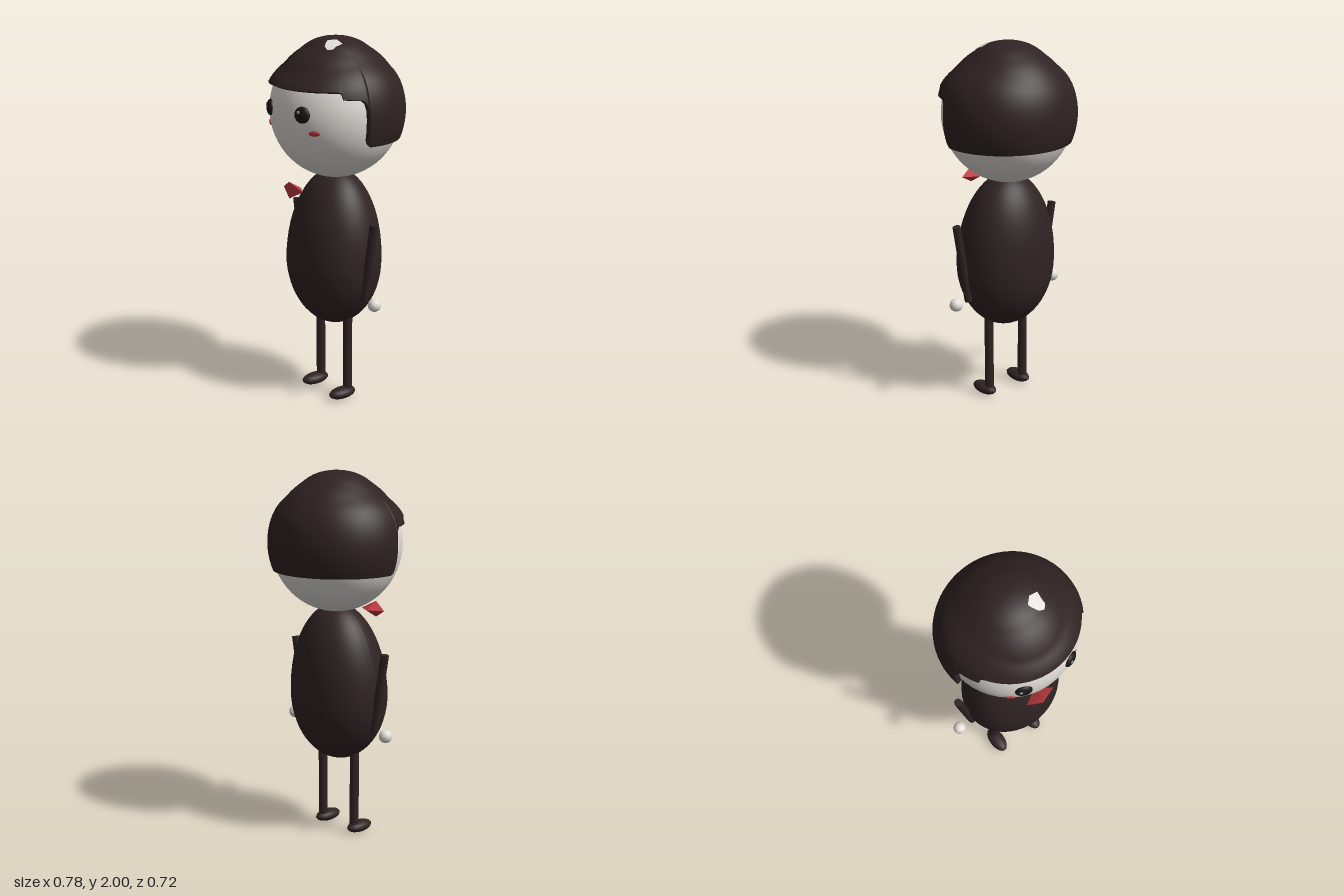
import * as THREE from 'three';

const mat = (name, color, side = THREE.FrontSide) => {
  const m = new THREE.MeshStandardMaterial({ color, side });
  m.name = name;
  return m;
};
const rad = THREE.MathUtils.degToRad;
const HEAD_Y = 1.615;
const HEAD = [0.35, 0.367, 0.354];
const HAIR = [0.382, 0.383, 0.36];

// distance from the head centre to an ellipsoid along a unit direction
const reach = (d, [a, b, c]) => 1 / Math.hypot(d.x / a, d.y / b, d.z / c);

// hair surface: an ellipsoid flattened around the crown, with a full fringe
function hairReach(d) {
  const el = THREE.MathUtils.radToDeg(Math.asin(d.y));
  const front = Math.max(0, d.z / Math.hypot(d.x, d.z, 1e-6));
  const dip = 0.05 * Math.exp(-(((el - 50) / 15) ** 2));
  const fringe = 0.065 * front * front * Math.exp(-(((el - 20) / 12) ** 2));
  return Math.max(reach(d, HAIR) * (1 - dip + fringe), reach(d, HEAD) * 1.012);
}

const direction = (az, th) =>
  new THREE.Vector3(Math.sin(th) * Math.sin(az), Math.cos(th), Math.sin(th) * Math.cos(az));

function surface(positions, index) {
  const g = new THREE.BufferGeometry();
  g.setAttribute('position', new THREE.Float32BufferAttribute(positions, 3));
  g.setIndex(index);
  g.computeVertexNormals();
  return g;
}

// hairline: [degrees from the front, height of the lower edge]
const HAIRLINE = [[0, 1.76], [54, 1.76], [57, 1.755], [58.5, 1.725], [74, 1.718], [77, 1.7],
  [78.5, 1.66], [79, 1.5], [80, 1.477], [82, 1.47], [180, 1.47]];

function hairGeometry() {
  // columns on both sides, with extra ones at the corners of the hairline
  const half = [];
  HAIRLINE.slice(1).forEach(([a1, y1], k) => {
    const [a0, y0] = HAIRLINE[k];
    const n = Math.ceil((a1 - a0) / 5);
    for (let i = 0; i < n; i++) half.push([a0 + (a1 - a0) * i / n, y0 + (y1 - y0) * i / n]);
  });
  const cols = [...half, [180, 1.47], ...half.slice(1).reverse().map(([a, y]) => [360 - a, y])];
  const rows = 24, n = cols.length, positions = [], index = [];
  const ends = cols.map(([a, y]) => {
    let lo = 0.3, hi = 2.4;
    for (let i = 0; i < 30; i++) {
      const mid = (lo + hi) / 2, d = direction(rad(a), mid);
      if (HEAD_Y + d.y * hairReach(d) > y) lo = mid; else hi = mid;
    }
    return lo;
  });
  // the last two rows form the rim that closes the hair against the head
  for (let r = 0; r <= rows + 2; r++) {
    cols.forEach(([a], j) => {
      const d = direction(rad(a), ends[j] * Math.min(1, r / rows));
      d.multiplyScalar(r === rows + 2 ? reach(d, HEAD) * 0.99 : hairReach(d));
      positions.push(d.x, d.y, d.z);
    });
  }
  for (let r = 0; r < rows + 2; r++) {
    if (r === rows) continue;
    for (let j = 0; j < n; j++) {
      const k = (j + 1) % n, a = r * n, b = a + n;
      index.push(a + j, b + j, b + k, a + j, b + k, a + k);
    }
  }
  return surface(positions, index);
}

// small pale patch lying on the crown
function patchGeometry() {
  const outline = [[0.095, 0.1], [0.045, 0.085], [0.075, 0.052], [0.125, 0.055], [0.128, 0.1],
    [0.136, 0.125], [0.115, 0.15], [0.08, 0.137], [0.055, 0.105]];
  const positions = [], index = [];
  outline.forEach(([x, z], i) => {
    const d = new THREE.Vector3(x, 0.355, z).normalize();
    d.multiplyScalar(hairReach(d) + 0.004);
    positions.push(d.x, d.y, d.z);
    if (i) index.push(0, i % 8 + 1, i);
  });
  return surface(positions, index);
}

// egg-shaped body: taller above its widest point than below it
function bodyGeometry() {
  const g = new THREE.SphereGeometry(1, 48, 32);
  const p = g.attributes.position;
  for (let i = 0; i < p.count; i++) {
    const y = p.getY(i);
    p.setXYZ(i, p.getX(i) * 0.285, y * (y > 0 ? 0.5 : 0.37),
      p.getZ(i) * 0.245 + 0.017 * (1 - Math.max(0, y)));
  }
  g.computeVertexNormals();
  return g;
}

export function createModel() {
  const dark = mat('dark brown', 0x2f2323);
  const hairMat = mat('hair brown', 0x2f2222, THREE.DoubleSide);
  const pale = mat('pale skin', 0xe4dfda);
  const eyeMat = mat('eye black', 0x1c1616);
  const glint = mat('eye glint', 0x9a9a9a);
  const red = mat('red', 0xbe3a3c);
  const bowMat = mat('bow red', 0xc03c40);
  bowMat.flatShading = true;

  const model = new THREE.Group();
  const add = (name, geometry, material, x, y, z) => {
    const m = new THREE.Mesh(geometry, material);
    m.name = name;
    m.position.set(x, y, z);
    model.add(m);
    return m;
  };
  const ball = (x, y, z, w = 24, h = 16) => new THREE.SphereGeometry(1, w, h).scale(x, y, z);

  // flattened ball sitting on the face, turned along its surface
  const onFace = (name, material, x, y, w, h, depth, lift = 0) => {
    const dy = y - HEAD_Y;
    const z = HEAD[2] * Math.sqrt(1 - (x / HEAD[0]) ** 2 - (dy / HEAD[1]) ** 2);
    const normal = new THREE.Vector3(x / HEAD[0] ** 2, dy / HEAD[1] ** 2, z / HEAD[2] ** 2).normalize();
    const m = add(name, ball(w, h, depth), material, x, y, z);
    m.position.addScaledVector(normal, lift);
    m.quaternion.setFromUnitVectors(new THREE.Vector3(0, 0, 1), normal);
  };

  add('head', ball(...HEAD, 48, 32), pale, 0, HEAD_Y, 0);
  add('hair', hairGeometry(), hairMat, 0, HEAD_Y, 0);
  add('crownPatch', patchGeometry(), pale, 0, HEAD_Y, 0);
  add('body', bodyGeometry(), dark, 0, 0.79, 0);

  for (const [side, s] of [['left', 1], ['right', -1]]) {
    // face
    onFace(side + 'Eye', eyeMat, s * 0.14, 1.637, 0.044, 0.043, 0.02);
    onFace(side + 'EyeGlint', glint, s * 0.14 - 0.013, 1.65, 0.009, 0.009, 0.004, 0.018);
    onFace(side + 'Cheek', red, s * 0.193, 1.545, 0.03, 0.015, 0.008);

    // bow half: a three-sided cone pointing outwards
    add(side + 'Bow', new THREE.ConeGeometry(0.052, 0.085, 3).rotateY(Math.PI).rotateZ(-s * Math.PI / 2),
      bowMat, s * 0.0425, 1.215, 0.284);

    // arm and hand
    const arm = add(side + 'Arm', new THREE.CylinderGeometry(0.022, 0.022, 0.446, 8), dark,
      s * 0.304, 0.832, 0.015);
    arm.rotation.z = -s * 0.172;
    add(side + 'Hand', ball(0.036, 0.036, 0.036, 12, 10), pale, s * 0.352, 0.61, 0.015);

    // leg and foot
    add(side + 'Leg', new THREE.CylinderGeometry(0.025, 0.025, 0.5, 8), dark, s * 0.123, 0.29, 0.014);
    add(side + 'Foot', ball(0.045, 0.032, 0.085, 16, 12), dark, s * 0.125, 0.034, 0.053);
  }
  return model;
}
